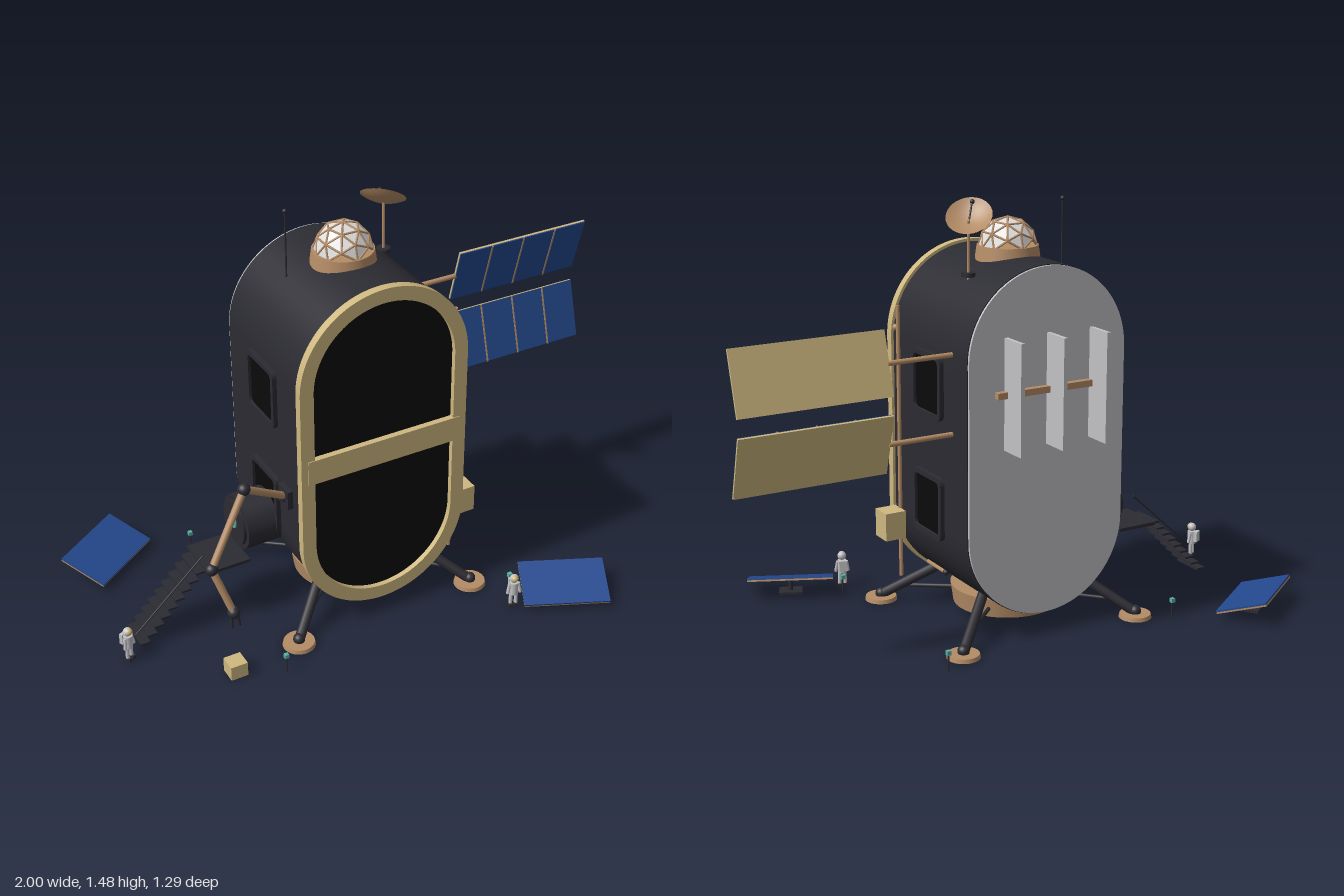
import * as THREE from 'three';
import { toCreasedNormals } from 'three/addons/utils/BufferGeometryUtils.js';

const mat = (name, color, side = THREE.FrontSide) => {
  const m = new THREE.MeshStandardMaterial({ color, side });
  m.name = name;
  return m;
};
const V = (x, y, z) => new THREE.Vector3(x, y, z);

export function createModel() {
  const root = new THREE.Group();
  root.name = 'lunarHabitat';
  const gold = mat('gold', 0xcfb880), copper = mat('copper', 0xb48c66, THREE.DoubleSide);
  const dark = mat('charcoal', 0x2b2b32), black = mat('blackGlass', 0x0b0b0b);
  const blue = mat('solarBlue', 0x24498f), grey = mat('lightGrey', 0xc2c2c5);
  const white = mat('domeWhite', 0xdedede), teal = mat('teal', 0x58b0a2);
  const CX = -0.07, CY = 0.68, CZ = -0.028;

  const add = (name, geo, material, x = 0, y = 0, z = 0, parent = root) => {
    const m = new THREE.Mesh(geo, material);
    m.name = name;
    m.position.set(x, y, z);
    parent.add(m);
    return m;
  };
  const group = (name, x = 0, y = 0, z = 0, parent = root) => {
    const g = new THREE.Group();
    g.name = name;
    g.position.set(x, y, z);
    parent.add(g);
    return g;
  };
  const box = (w, h, d) => new THREE.BoxGeometry(w, h, d);
  const cyl = (rt, rb, h, n = 32) => new THREE.CylinderGeometry(rt, rb, h, n);
  const ball = r => new THREE.SphereGeometry(r, 16, 12);
  // Rod between two points
  const rod = (name, a, b, r, material, parent = root, n = 12) => {
    const d = b.clone().sub(a), mid = a.clone().add(b).multiplyScalar(0.5);
    const m = add(name, cyl(r, r, d.length(), n), material, mid.x, mid.y, mid.z, parent);
    m.quaternion.setFromUnitVectors(V(0, 1, 0), d.normalize());
    return m;
  };
  // Rounded outline: half width w, half height h, corner radius r
  const outline = (w, h, r, Type = THREE.Shape) => {
    const s = new Type();
    s.absarc(w - r, h - r, r, 0, Math.PI / 2);
    s.absarc(r - w, h - r, r, Math.PI / 2, Math.PI);
    s.absarc(r - w, r - h, r, Math.PI, Math.PI * 1.5);
    s.absarc(w - r, r - h, r, Math.PI * 1.5, Math.PI * 2);
    s.closePath();
    return s;
  };
  const extrude = (shape, depth) => toCreasedNormals(
    new THREE.ExtrudeGeometry(shape, { depth, bevelEnabled: false, curveSegments: 20 }), 0.6);
  const stadium = (r, Type) => outline(r, r + 0.3, r, Type);

  // Hull with front window, gold rim and rear plate
  add('hull', extrude(stadium(0.305), 0.515), dark, CX, CY, -0.283);
  const rim = stadium(0.315);
  rim.holes.push(stadium(0.265, THREE.Path));
  add('frontRim', extrude(rim, 0.03), gold, CX, CY, 0.228);
  add('frontGlass', extrude(stadium(0.27), 0.008), black, CX, CY, 0.231);
  add('frontBand', box(0.58, 0.092, 0.034), gold, CX, 0.683, 0.244);
  add('rearPlate', extrude(stadium(0.302), 0.009), grey, CX, CY, -0.292);

  // Side windows
  for (const s of [1, -1]) for (const y of [0.867, 0.445]) {
    const g = group('sideWindow', CX + s * 0.303, y, CZ);
    g.rotation.y = s * Math.PI / 2;
    const frame = outline(0.1, 0.112, 0.025);
    frame.holes.push(outline(0.083, 0.094, 0.016, THREE.Path));
    add('windowFrame', extrude(frame, 0.018), dark, 0, 0, 0, g);
    add('windowGlass', extrude(outline(0.085, 0.096, 0.016), 0.008), black, 0, 0, 0, g);
  }

  // Radiator fins on the back
  for (const x of [-0.238, -0.07, 0.093]) add('radiatorFin', box(0.014, 0.38, 0.107), grey, x, 0.87, -0.343);
  add('radiatorPipe', box(0.41, 0.022, 0.024), copper, CX, 0.872, -0.303);

  // Geodesic dome: faceted panels with a strut along each edge
  const dome = group('dome', CX, 1.308, CZ);
  add('domeCollar', cyl(0.105, 0.112, 0.05), copper, 0, -0.02, 0, dome);
  const pos = new THREE.IcosahedronGeometry(0.099, 1).getAttribute('position');
  const panels = [], seen = new Set();
  for (let i = 0; i < pos.count; i += 3) {
    const p = [0, 1, 2].map(k => new THREE.Vector3().fromBufferAttribute(pos, i + k));
    if (p.some(v => v.y < -0.01)) continue;
    panels.push(...p);
    p.forEach((a, k) => {
      const b = p[(k + 1) % 3];
      const key = a.clone().add(b).toArray().map(v => Math.round(v * 1e4)).join();
      if (seen.has(key)) return;
      seen.add(key);
      rod('domeStrut', a, b, 0.0038, copper, dome, 6);
    });
  }
  const domeGeo = new THREE.BufferGeometry().setFromPoints(panels);
  domeGeo.computeVertexNormals();
  add('domePanels', domeGeo, white, 0, 0, 0, dome);

  // Dish and whip antenna
  add('mastFoot', cyl(0.024, 0.024, 0.014), dark, 0.115, 1.236, -0.085);
  rod('dishMast', V(0.115, 1.21, -0.085), V(0.115, 1.415, -0.085), 0.005, copper);
  const bowl = [];
  for (let i = 0; i <= 8; i++) bowl.push(new THREE.Vector2(0.078 * i / 8, 0.022 * (i / 8) ** 2 - 0.015));
  add('dish', new THREE.LatheGeometry(bowl, 32), copper, 0.112, 1.427, -0.086)
    .quaternion.setFromUnitVectors(V(0, 1, 0), V(0.5, 0.85, -0.57).normalize());
  rod('dishFeed', V(0.112, 1.42, -0.086), V(0.088, 1.47, -0.062), 0.003, dark);
  add('feedTip', ball(0.008), dark, 0.086, 1.472, -0.061);
  rod('whipAntenna', V(-0.25, 1.2, -0.087), V(-0.25, 1.46, -0.087), 0.003, dark);
  add('whipTip', ball(0.008), dark, -0.25, 1.463, -0.087);

  // Solar wing: two tilted panels, blue in front and gold behind
  for (const [y, tilt] of [[0.998, 0.28], [0.728, -0.28]]) {
    rod('solarBoom', V(0.22, y, -0.183), V(0.47, y, -0.183), 0.009, copper);
    const g = group('solarPanel', 0.7325, y, -0.181);
    g.rotation.x = tilt;
    add('panelBack', box(0.535, 0.218, 0.008), gold, 0, 0, -0.002, g);
    add('panelCells', box(0.533, 0.216, 0.004), blue, 0, 0, 0.004, g);
    for (const x of [-0.134, 0, 0.134]) add('panelStrip', box(0.006, 0.218, 0.004), copper, x, 0, 0.006, g);
  }

  // Fittings on the side wall
  rod('wallRail', V(0.247, 0.118, 0.172), V(0.247, 1.1, 0.172), 0.007, copper);
  add('railLamp', ball(0.012), copper, 0.247, 1.02, 0.188);
  add('wallBox', box(0.078, 0.1, 0.08), gold, 0.287, 0.322, 0.17);
  rod('lowerPipe', V(0.15, 0.16, 0.15), V(0.15, 0.16, 0.02), 0.007, copper);
  add('pipeEnd', ball(0.011), dark, 0.15, 0.16, 0.02);

  // Airlock, platform and stairs
  rod('airlock', V(-0.36, 0.353, -0.035), V(-0.495, 0.353, -0.035), 0.1, dark, root, 32);
  rod('airlockDoor', V(-0.49, 0.353, -0.035), V(-0.506, 0.353, -0.035), 0.082, dark, root, 32);
  rod('doorPort', V(-0.5, 0.36, -0.035), V(-0.51, 0.36, -0.035), 0.025, teal, root, 20);
  add('platform', box(0.16, 0.012, 0.176), dark, -0.57, 0.243, -0.033);
  for (let i = 0; i < 9; i++)
    add('stairStep', box(0.036, 0.008, 0.125), dark, -0.667 - i * 0.0275, 0.236 - i * 0.028, -0.033);
  rod('handrail', V(-0.655, 0.305, 0.028), V(-0.92, 0.065, 0.028), 0.003, dark);

  // Robot arm
  const joints = [V(-0.385, 0.53, 0.135), V(-0.565, 0.655, 0.195), V(-0.72, 0.425, 0.255), V(-0.67, 0.26, 0.302)];
  add('armMount', box(0.03, 0.07, 0.07), dark, -0.38, 0.53, 0.135);
  joints.forEach((p, i) => {
    add('armJoint', ball(0.022), dark, p.x, p.y, p.z);
    if (i) rod('armLink', joints[i - 1], p, 0.013, copper);
  });
  for (const s of [-1, 1])
    rod('gripperFinger', V(-0.67 + s * 0.01, 0.255, 0.304), V(-0.668 + s * 0.014, 0.205, 0.308), 0.006, dark);

  // Base drum and four legs
  add('baseDrum', cyl(0.2, 0.19, 0.068, 40), copper, CX, 0.072, CZ);
  add('baseNozzle', cyl(0.09, 0.085, 0.025), copper, CX, 0.028, CZ);
  for (const sx of [-1, 1]) for (const sz of [-1, 1]) {
    const at = (x, y, z) => V(CX + sx * x, y, CZ + sz * z);
    const f = at(0.348, 0, 0.302);
    add('footPad', cyl(0.055, 0.058, 0.014), copper, f.x, 0.007, f.z);
    add('ankle', ball(0.021), dark, f.x, 0.022, f.z);
    rod('leg', at(0.345, 0.02, 0.3), at(0.19, 0.145, 0.16), 0.018, dark);
    rod('legBrace', at(0.29, 0.06, 0.25), at(0.13, 0.07, 0.11), 0.007, dark);
  }

  // Ground solar panels
  for (const [x, z, turn] of [[-0.824, -0.484, 0.602], [0.535, 0.497, -0.432]]) {
    const g = group('groundPanel', x, 0, z);
    g.rotation.y = turn;
    add('panelFoot', box(0.085, 0.01, 0.06), dark, 0, 0.005, 0, g);
    add('panelPost', cyl(0.008, 0.008, 0.045, 12), dark, 0, 0.03, 0, g);
    const t = group('tiltedPanel', 0, 0.056, 0, g);
    t.rotation.x = 0.32;
    add('panelBack', box(0.308, 0.006, 0.186), copper, 0, -0.003, 0, t);
    add('panelCells', box(0.308, 0.006, 0.186), blue, 0, 0.003, 0, t);
  }

  // Suited figures
  for (const [x, z, turn] of [[-0.96, 0.06, 0.5], [0.345, 0.458, -0.3]]) {
    const g = group('suitedFigure', x, 0, z);
    g.rotation.y = turn;
    add('torso', cyl(0.016, 0.015, 0.05, 16), grey, 0, 0.078, 0, g);
    add('backpack', box(0.028, 0.04, 0.014), grey, 0, 0.085, -0.02, g);
    add('helmet', ball(0.016), grey, 0, 0.119, 0, g);
    add('visor', ball(0.0135), gold, 0, 0.121, 0.005, g);
    for (const s of [-1, 1]) {
      rod('arm', V(s * 0.016, 0.098, 0), V(s * 0.023, 0.058, 0.004), 0.006, grey, g);
      rod('suitLeg', V(s * 0.009, 0.058, 0), V(s * 0.01, 0.012, 0), 0.007, grey, g);
      add('boot', box(0.014, 0.012, 0.022), dark, s * 0.01, 0.006, 0.003, g);
    }
  }

  // Crate and corner beacons
  add('crate', box(0.062, 0.054, 0.062), gold, -0.673, 0.027, 0.302);
  for (const x of [-0.52, 0.38]) for (const z of [-0.41, 0.38]) {
    rod('beaconPost', V(x, 0, z), V(x, 0.064, z), 0.003, dark);
    add('beaconLamp', box(0.015, 0.015, 0.015), teal, x, 0.068, z);
  }
  return root;
}
